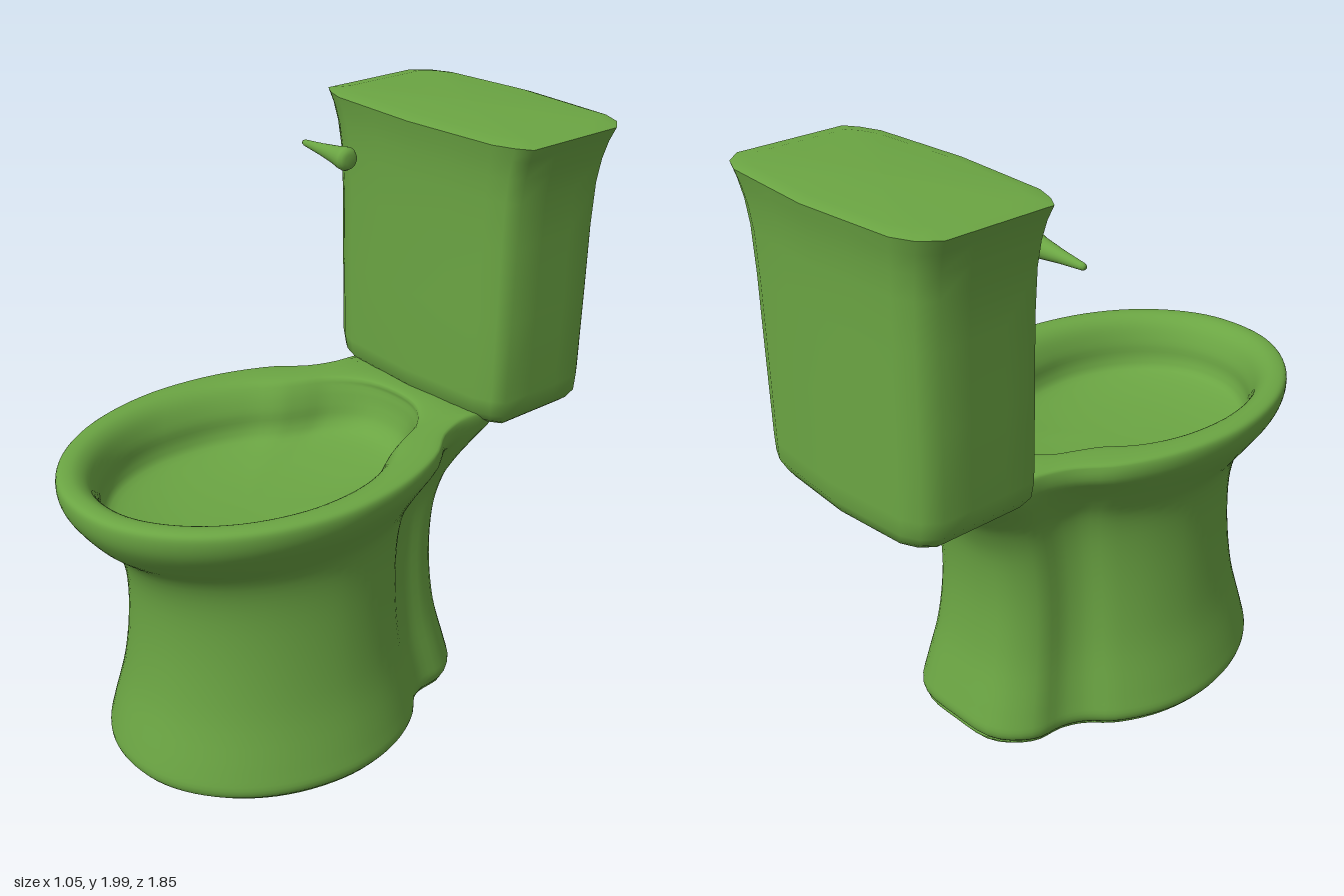
import * as THREE from 'three';

const SEG = 96;

// Skin between rings of points, ordered upwards and counter-clockwise from above
function loft(rings) {
  const n = rings[0].length, pos = [], idx = [];
  rings.forEach(r => r.forEach(p => pos.push(p.x, p.y, p.z)));
  for (let i = 0; i < rings.length - 1; i++)
    for (let j = 0; j < n; j++) {
      const a = i * n + j, b = i * n + (j + 1) % n;
      idx.push(a, b, b + n, a, b + n, a + n);
    }
  const g = new THREE.BufferGeometry();
  g.setAttribute('position', new THREE.Float32BufferAttribute(pos, 3));
  g.setIndex(idx);
  g.computeVertexNormals();
  return g;
}

// Mirror a half outline (front to back) and sample it as a smooth closed curve
function outline(half) {
  const full = [...half, ...half.slice(1, -1).reverse().map(([x, z]) => [-x, z])];
  const c = new THREE.CatmullRomCurve3(full.map(([x, z]) => new THREE.Vector3(x, 0, z)), true, 'centripetal');
  return Array.from({ length: SEG }, (_, i) => c.getPoint(i / SEG));
}

// Unit plans: egg-shaped front with a pinched neck behind
const OUTER = outline([[0, 1], [0.26, 0.97], [0.5, 0.87], [0.71, 0.71], [0.87, 0.5], [0.97, 0.25], [1, 0],
  [0.95, -0.22], [0.82, -0.42], [0.66, -0.55], [0.595, -0.66], [0.57, -0.82], [0.38, -0.97], [0, -1]]);
const INNER = outline([[0, 1], [0.26, 0.97], [0.5, 0.87], [0.71, 0.71], [0.87, 0.5], [0.97, 0.25], [1, 0],
  [0.96, -0.24], [0.84, -0.45], [0.68, -0.6], [0.61, -0.7], [0.52, -0.83], [0.3, -0.96], [0, -1]]);

const cr = (a, b, c, d, t) => 0.5 * (2 * b + (c - a) * t + (2 * a - 5 * b + 4 * c - d) * t * t + (3 * b - a - 3 * c + d) * t * t * t);

// Rows: height, half width, widest z, front z, back z, inner-plan blend
const BOWL = [
  [0.01, 0.001, 0.2, 0.201, 0.199, 0],
  [0.01, 0.42, 0.2, 0.69, -0.4, 0],
  [0.015, 0.465, 0.2, 0.755, -0.45, 0],
  [0.05, 0.492, 0.2, 0.787, -0.473, 0],
  [0.12, 0.478, 0.2, 0.775, -0.457, 0],
  [0.3, 0.435, 0.2, 0.727, -0.41, 0],
  [0.5, 0.41, 0.2, 0.703, -0.39, 0],
  [0.68, 0.4, 0.2, 0.71, -0.405, 0],
  [0.8, 0.412, 0.21, 0.755, -0.45, 0],
  [0.88, 0.455, 0.23, 0.84, -0.505, 0],
  [0.95, 0.5, 0.25, 0.895, -0.585, 0],
  [1.0, 0.522, 0.25, 0.918, -0.66, 0],
  [1.045, 0.525, 0.25, 0.92, -0.66, 0],
  [1.062, 0.505, 0.25, 0.9, -0.63, 0],
  [1.06, 0.455, 0.28, 0.86, -0.37, 1],
  [1.03, 0.415, 0.31, 0.82, -0.345, 1],
  [0.97, 0.385, 0.34, 0.79, -0.33, 1],
  [0.91, 0.375, 0.34, 0.78, -0.3, 1],
  [0.87, 0.34, 0.34, 0.74, -0.22, 1],
  [0.84, 0.2, 0.33, 0.56, 0.02, 1],
  [0.83, 0.001, 0.3, 0.301, 0.299, 1],
];

function bowlGeometry() {
  const rings = [], at = i => BOWL[Math.max(0, Math.min(BOWL.length - 1, i))];
  for (let i = 0; i < BOWL.length - 1; i++)
    for (let s = 0; s < 4; s++) {
      const [y, w, zc, zf, zb, k] = BOWL[i].map((_, c) => c === 5
        ? THREE.MathUtils.lerp(at(i)[c], at(i + 1)[c], s / 4)
        : cr(at(i - 1)[c], at(i)[c], at(i + 1)[c], at(i + 2)[c], s / 4));
      rings.push(OUTER.map((o, j) => {
        const p = o.clone().lerp(INNER[j], k);
        const z = zc + p.z * (p.z > 0 ? zf - zc : zc - zb);
        // the shelf under the tank slopes down to the back
        return new THREE.Vector3(p.x * w, Math.min(y, 1.064 - 0.24 * Math.max(0, -0.4 - z)), z);
      }));
    }
  const [y, , zc] = BOWL[BOWL.length - 1];
  rings.push(OUTER.map(() => new THREE.Vector3(0, y, zc)));
  return loft(rings);
}

// Tank: bevelled plan, rows of height, half width, front z, back z
const TANK_HALF = [[0, 1], [0.38, 0.965], [0.75, 0.93], [0.9, 0.84], [1, 0.73], [1, 0.3], [1, -0.2], [1, -0.6],
  [0.9, -0.8], [0.75, -0.91], [0.38, -0.955], [0, -1]];
const TANK_PLAN = [...TANK_HALF, ...TANK_HALF.slice(1, -1).reverse().map(([x, z]) => [-x, z])];
const TANK = [
  [0.985, 0.001, -0.7, -0.701],
  [0.987, 0.25, -0.55, -0.8],
  [1.01, 0.345, -0.455, -0.868],
  [1.03, 0.37, -0.43, -0.882],
  [1.065, 0.395, -0.4, -0.9],
  [1.12, 0.402, -0.393, -0.9],
  [1.4, 0.408, -0.393, -0.9],
  [1.65, 0.412, -0.393, -0.9],
  [1.8, 0.42, -0.39, -0.902],
  [1.88, 0.433, -0.385, -0.908],
  [1.94, 0.45, -0.377, -0.918],
  [1.985, 0.47, -0.368, -0.928],
  [1.985, 0.47, -0.368, -0.928], // repeated for a sharp lid edge
  [1.998, 0.4, -0.42, -0.89],
  [2.0, 0.001, -0.65, -0.651],
];

function tankGeometry() {
  return loft(TANK.map(([y, w, f, b]) => TANK_PLAN.map(([x, z]) =>
    new THREE.Vector3(x * w, y, (f + b) / 2 + z * (f - b) / 2))));
}

// Flush lever: tapered handle turned about its own axis
function leverGeometry() {
  const profile = [[0, 0], [0.008, 0.001], [0.011, 0.01], [0.02, 0.1], [0.032, 0.19], [0.039, 0.222],
    [0.04, 0.24], [0.033, 0.253], [0.018, 0.258], [0, 0.258]];
  return new THREE.LatheGeometry(profile.map(([r, h]) => new THREE.Vector2(r, h)), 24);
}

export function createModel() {
  const group = new THREE.Group();
  const material = new THREE.MeshStandardMaterial({ color: 0x6ba543 });
  const add = (name, geometry) => {
    const mesh = new THREE.Mesh(geometry, material);
    mesh.name = name;
    group.add(mesh);
    return mesh;
  };
  add('bowl', bowlGeometry());
  add('tank', tankGeometry());
  const lever = add('flushLever', leverGeometry());
  lever.rotation.set(0, -0.06, -Math.PI / 2);
  lever.position.set(-0.512, 1.8, -0.37);
  return group;
}
